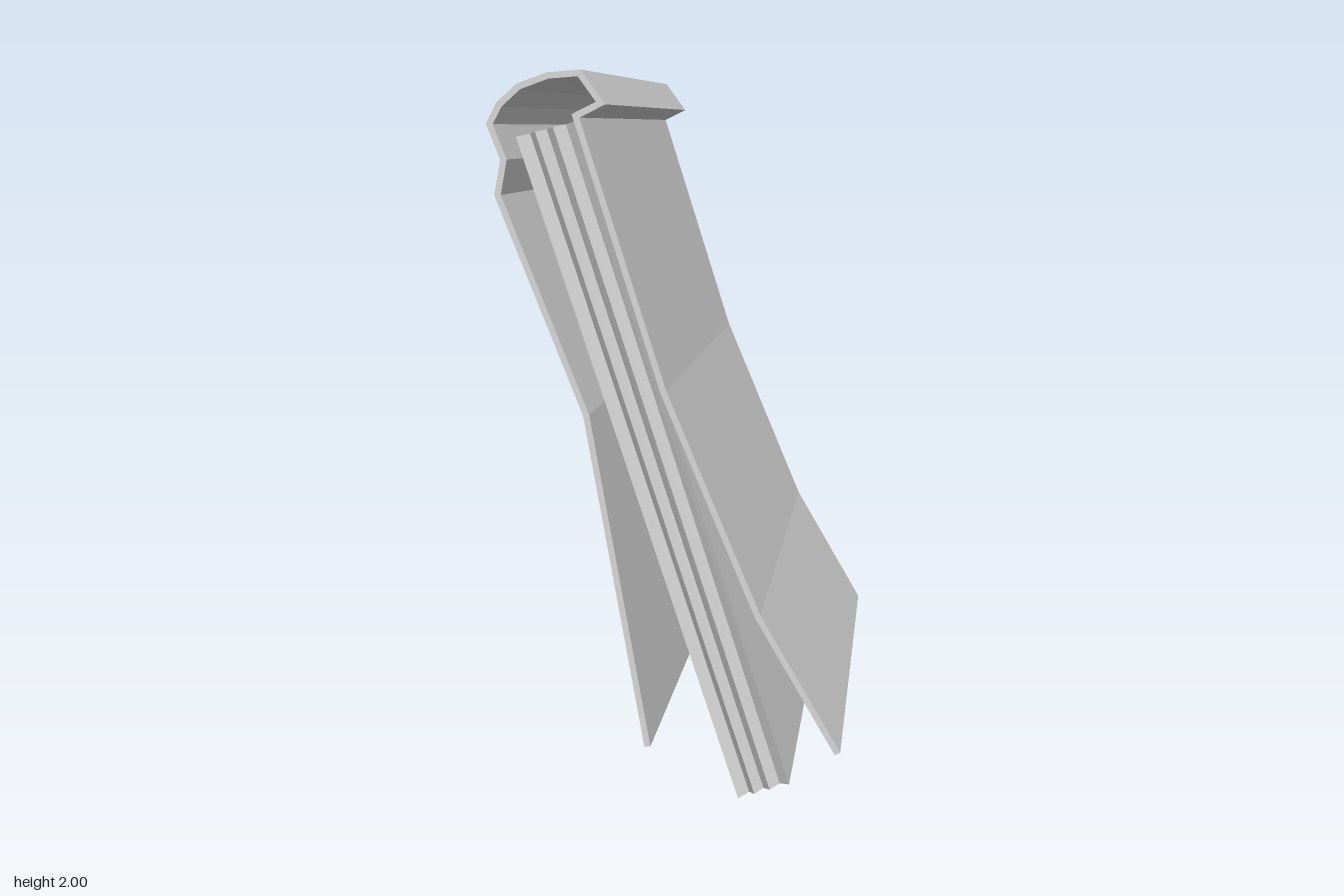
import * as THREE from 'three';

// Direction and length of the spine, from the front end to the far end
const spine = new THREE.Vector3(0.41, -0.205, -1.32);

// Places a cross-section point (x, y) at fraction s along the spine;
// every cross-section lies in a plane square to the spine
function place(x, y, s) {
  return new THREE.Vector3(x, y, 0.89 + 0.311 * x - 0.155 * y).addScaledVector(spine, s);
}

// Closes an open path into a thin band by offsetting it to its right
function band(path, thickness) {
  const pts = path.map(([x, y]) => new THREE.Vector2(x, y));
  const normal = (a, b) => new THREE.Vector2(b.y - a.y, a.x - b.x).normalize();
  const inner = pts.map((p, i) => {
    const n0 = normal(pts[Math.max(i - 1, 0)], pts[Math.max(i, 1)]);
    const n1 = i < pts.length - 1 ? normal(p, pts[i + 1]) : n0;
    const m = n0.clone().add(n1).normalize();
    return p.clone().addScaledVector(m, thickness / Math.max(m.dot(n1), 0.5));
  });
  return new THREE.Shape([...pts, ...inner.reverse()]);
}

// Moves every vertex of a geometry by a rule
function remap(geometry, rule) {
  const pos = geometry.attributes.position;
  for (let i = 0; i < pos.count; i++) {
    const p = rule(pos.getX(i), pos.getY(i), pos.getZ(i));
    pos.setXYZ(i, p.x, p.y, p.z);
  }
  geometry.computeVertexNormals();
  return geometry;
}

export function createModel() {
  const group = new THREE.Group();
  group.name = 'book';
  const material = new THREE.MeshStandardMaterial({
    color: 0xcccccc, flatShading: true, side: THREE.DoubleSide,
  });

  // Cover: back board, hinge, rounded spine, hinge, bent front board
  const coverPath = [
    [-0.285, 0.33], [-0.405, 1.17], [-0.595, 1.70], [-0.577, 1.785],
    [-0.607, 1.87], [-0.58, 1.92], [-0.53, 1.965], [-0.46, 1.992], [-0.38, 2.0],
    [-0.325, 1.92], [-0.387, 1.888],
    [-0.205, 1.24], [-0.10, 0.965], [0.005, 0.69], [0.19, 0.348],
  ];
  const coverGeometry = new THREE.ExtrudeGeometry(band(coverPath, 0.015), {
    depth: 1, bevelEnabled: false,
  });
  const cover = new THREE.Mesh(remap(coverGeometry, (x, y, d) => place(x, y, 1 - d)), material);
  cover.name = 'cover';
  group.add(cover);

  // Page block: outline with ridged ends, swept from fore edge to spine
  const stations = [0, 0.2, 0.32, 0.48, 0.62, 0.8, 1];
  const ridge = (i) => 0.008 + (i % 2) * 0.018;
  const outline = [
    ...stations.map((t, i) => new THREE.Vector2(t, ridge(i))),
    ...stations.map((t, i) => new THREE.Vector2(t, 1 - ridge(i))).reverse(),
  ];
  const pageGeometry = new THREE.ExtrudeGeometry(new THREE.Shape(outline), {
    depth: 1, bevelEnabled: false,
  });
  const lerp = THREE.MathUtils.lerp;
  const pages = new THREE.Mesh(remap(pageGeometry, (t, s, v) => place(
    lerp(lerp(-0.06, 0.065, t), lerp(-0.54, -0.398, t), v),
    lerp(lerp(0.205, 0.252, t), lerp(1.84, 1.88, t), v),
    s,
  )), material);
  pages.name = 'pages';
  group.add(pages);

  return group;
}
